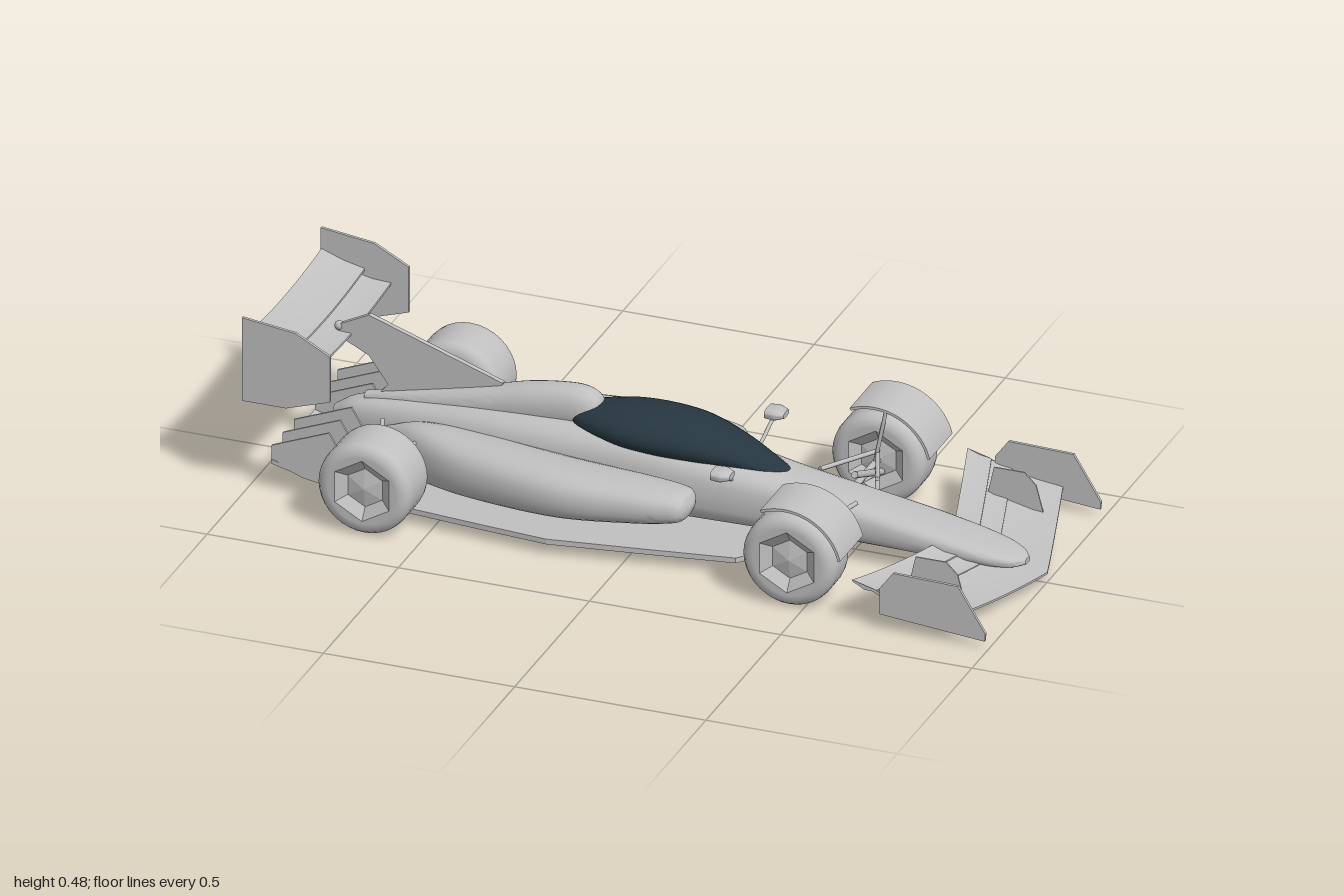
import * as THREE from 'three';
import { toCreasedNormals } from 'three/addons/utils/BufferGeometryUtils.js';

const grey = new THREE.MeshStandardMaterial({ color: 0xc0c0c0, side: THREE.DoubleSide });
grey.name = 'bodyGrey';
const dark = new THREE.MeshStandardMaterial({ color: 0x263640, side: THREE.DoubleSide });
dark.name = 'canopyDark';

const V = (x, y, z) => new THREE.Vector3(x, y, z);

// Closed skin over a list of rings, capped at both ends
function skin(rings) {
  const n = rings[0].length, pos = [], idx = [];
  rings.forEach(r => r.forEach(p => pos.push(p.x, p.y, p.z)));
  for (let i = 0; i < rings.length - 1; i++) {
    for (let j = 0; j < n; j++) {
      const a = i * n + j, b = i * n + (j + 1) % n;
      idx.push(a, a + n, b, b, a + n, b + n);
    }
  }
  const last = (rings.length - 1) * n;
  for (let j = 1; j < n - 1; j++) idx.push(0, j, j + 1, last, last + j + 1, last + j);
  const g = new THREE.BufferGeometry();
  g.setAttribute('position', new THREE.Float32BufferAttribute(pos, 3));
  g.setIndex(idx);
  return toCreasedNormals(g, 0.7);
}

// Smooth hull along x from sections [x, centreZ, halfWidth, bottomY, topY]
function hull(sections, power = 1, steps = 48) {
  const plan = new THREE.CatmullRomCurve3(sections.map(s => V(s[0], s[1], s[2])), false, 'catmullrom');
  const side = new THREE.CatmullRomCurve3(sections.map(s => V(s[0], s[3], s[4])), false, 'catmullrom');
  const bend = v => Math.sign(v) * Math.abs(v) ** power;
  const rings = [];
  for (let i = 0; i <= steps; i++) {
    const p = plan.getPoint(i / steps), q = side.getPoint(i / steps), ring = [];
    for (let j = 0; j < 28; j++) {
      const a = j / 28 * Math.PI * 2;
      ring.push(V(p.x, (q.y + q.z) / 2 + (q.z - q.y) / 2 * bend(Math.sin(a)), p.y + p.z * bend(Math.cos(a))));
    }
    rings.push(ring);
  }
  return skin(rings);
}

// Wing blade across z; at(z) gives [rearX, rearY, frontX, frontY]
function blade(span, at, thick = 0.01) {
  const rings = [];
  for (let i = 0; i <= 20; i++) {
    const z = -span + 2 * span * i / 20;
    const [rx, ry, fx, fy] = at(z);
    const mx = (rx + fx) / 2, my = (ry + fy) / 2 - 0.004;
    rings.push([V(rx, ry, z), V(mx, my, z), V(fx, fy, z),
      V(fx, fy - thick * 0.6, z), V(mx, my - thick, z), V(rx, ry - 0.004, z)]);
  }
  return skin(rings);
}

// Upright plate from an x,y outline
function plate(points, z, thick = 0.008) {
  const shape = new THREE.Shape(points.map(p => new THREE.Vector2(...p)));
  return new THREE.ExtrudeGeometry(shape, { depth: thick, bevelEnabled: false }).translate(0, 0, z - thick / 2);
}

function rod(a, b, r = 0.006) {
  const d = b.clone().sub(a);
  const g = new THREE.CylinderGeometry(r, r, d.length(), 8);
  g.applyQuaternion(new THREE.Quaternion().setFromUnitVectors(V(0, 1, 0), d.clone().normalize()));
  return g.translate((a.x + b.x) / 2, (a.y + b.y) / 2, (a.z + b.z) / 2);
}

function add(parent, name, geo, mat = grey) {
  const m = new THREE.Mesh(geo, mat);
  m.name = name;
  parent.add(m);
  return m;
}

function wheel(name, halfWidth) {
  const w = new THREE.Group(), h = halfWidth, R = 0.122;
  w.name = name;
  // Rounded tyre
  const profile = [[0.088, -h], [0.098, -h], [0.112, -h + 0.006], [0.12, -h + 0.018], [R, -h + 0.032],
    [R, h - 0.032], [0.12, h - 0.018], [0.112, h - 0.006], [0.098, h], [0.088, h]];
  add(w, 'tyre', new THREE.LatheGeometry(profile.map(p => new THREE.Vector2(...p)), 36).rotateX(Math.PI / 2));
  // Hexagonal dished hub on both faces
  const hexPts = [];
  for (let k = 0; k < 6; k++) {
    const a = Math.PI / 2 + k * Math.PI / 3;
    hexPts.push(new THREE.Vector2(Math.cos(a) * 0.082, Math.sin(a) * 0.082));
  }
  const rim = new THREE.Shape().absarc(0, 0, 0.09, 0, Math.PI * 2);
  rim.holes.push(new THREE.Path(hexPts));
  const bowl = [[0, h - 0.012], [0.052, h - 0.022], [0.082, h]].map(p => new THREE.Vector2(...p));
  for (const turn of [0, Math.PI]) {
    add(w, 'rim', new THREE.ShapeGeometry(rim, 32).translate(0, 0, h).rotateY(turn));
    const hub = new THREE.LatheGeometry(bowl, 6).rotateX(Math.PI / 2).rotateY(turn).toNonIndexed();
    hub.computeVertexNormals();
    add(w, 'hub', hub);
  }
  return w;
}

export function createModel() {
  const car = new THREE.Group();
  car.name = 'racingCar';

  // Main body and nose
  add(car, 'body', hull([
    [-0.86, 0, 0.02, 0.09, 0.15], [-0.79, 0, 0.045, 0.055, 0.185], [-0.6, 0, 0.075, 0.04, 0.215],
    [-0.4, 0, 0.1, 0.04, 0.235], [-0.2, 0, 0.11, 0.04, 0.24], [0, 0, 0.112, 0.04, 0.235],
    [0.2, 0, 0.1, 0.04, 0.208], [0.35, 0, 0.087, 0.04, 0.182], [0.5, 0, 0.08, 0.045, 0.158],
    [0.7, 0, 0.078, 0.045, 0.122], [0.85, 0, 0.068, 0.042, 0.09], [0.92, 0, 0.046, 0.042, 0.072],
    [0.95, 0, 0.015, 0.045, 0.06]], 0.65, 60));
  add(car, 'engineCover', hull([
    [-0.78, 0, 0.015, 0.16, 0.2], [-0.6, 0, 0.032, 0.17, 0.24], [-0.45, 0, 0.042, 0.18, 0.275],
    [-0.35, 0, 0.046, 0.19, 0.301], [-0.25, 0, 0.046, 0.2, 0.315], [-0.2, 0, 0.043, 0.2, 0.313],
    [-0.17, 0, 0.032, 0.22, 0.298], [-0.16, 0, 0.015, 0.24, 0.28]], 0.9));
  add(car, 'canopy', hull([
    [-0.24, 0, 0.025, 0.232, 0.25], [-0.2, 0, 0.06, 0.208, 0.273], [-0.1, 0, 0.097, 0.19, 0.29],
    [0, 0, 0.105, 0.18, 0.293], [0.1, 0, 0.094, 0.176, 0.283], [0.2, 0, 0.068, 0.173, 0.25],
    [0.28, 0, 0.042, 0.171, 0.21], [0.33, 0, 0.018, 0.173, 0.185]]), dark);
  add(car, 'spineFin', plate([[-0.85, 0.37], [-0.77, 0.41], [-0.42, 0.288], [-0.45, 0.2], [-0.77, 0.17],
    [-0.72, 0.23], [-0.77, 0.3], [-0.85, 0.34]], 0, 0.014));

  // Floor and rear diffuser
  const half = [[-0.8, 0.235], [-0.6, 0.265], [-0.37, 0.288], [-0.19, 0.304], [0.05, 0.268],
    [0.277, 0.232], [0.37, 0.12], [0.4, 0.06]];
  const outline = [...half, ...half.map(([x, z]) => [x, -z]).reverse()];
  add(car, 'floor', plate(outline, 0, 0.014).rotateX(Math.PI / 2).translate(0, 0.037, 0));
  add(car, 'diffuser', blade(0.225, () => [-0.94, 0.088, -0.78, 0.045]));
  for (const z of [-0.22, -0.145, -0.07, 0.07, 0.145, 0.22]) {
    add(car, 'diffuserFin', plate([[-0.94, 0.125], [-0.94, 0.075], [-0.78, 0.035], [-0.74, 0.1], [-0.79, 0.185]], z, 0.006));
  }

  // Front wing: three swept, sagging elements
  const sweep = z => 0.11 * (1 - Math.abs(z) / 0.385);
  const sag = z => 0.035 * (z / 0.385) ** 2;
  [[0.75, 0.055, 0.892, 0.03], [0.69, 0.073, 0.76, 0.055], [0.642, 0.088, 0.705, 0.071]].forEach(([rx, ry, fx, fy]) => {
    add(car, 'frontWingElement', blade(0.385,
      z => [rx + sweep(z), ry + sag(z), fx + sweep(z), fy + sag(z)], 0.009));
  });

  // Rear wing: two sagging elements
  [[-0.91, 0.364, -0.816, 0.352], [-0.998, 0.412, -0.885, 0.378]].forEach(([rx, ry, fx, fy]) => {
    add(car, 'rearWingElement', blade(0.26, z => {
      const s = 0.014 * (z / 0.26) ** 2;
      return [rx, ry + s, fx, fy + s];
    }));
  });
  add(car, 'rearWingMount', new THREE.SphereGeometry(0.012, 12, 8).translate(-0.85, 0.365, 0));

  for (const s of [1, -1]) {
    const prefix = s > 0 ? 'left' : 'right';
    add(car, prefix + 'Sidepod', hull([
      [-0.7, s * 0.07, 0.02, 0.06, 0.15], [-0.6, s * 0.1, 0.05, 0.045, 0.188], [-0.45, s * 0.13, 0.082, 0.045, 0.192],
      [-0.2, s * 0.175, 0.09, 0.06, 0.19], [0, s * 0.18, 0.078, 0.08, 0.183], [0.1, s * 0.178, 0.064, 0.094, 0.175],
      [0.13, s * 0.176, 0.05, 0.105, 0.165], [0.142, s * 0.175, 0.02, 0.125, 0.145]], 0.8));

    // Wing end plates and fences
    add(car, prefix + 'FrontEndPlate', plate([[0.715, 0.045], [0.99, 0.02], [0.992, 0.04], [0.92, 0.157],
      [0.75, 0.162], [0.715, 0.115]], s * 0.386));
    add(car, prefix + 'FrontFence', plate([[0.74, 0.06], [0.89, 0.045], [0.87, 0.12], [0.84, 0.15], [0.76, 0.15]], s * 0.262, 0.004));
    add(car, prefix + 'RearEndPlate', plate([[-1, 0.256], [-0.885, 0.256], [-0.77, 0.293], [-0.77, 0.416],
      [-0.86, 0.464], [-1, 0.482]], s * 0.263));

    // Wheels
    const front = wheel(prefix + 'FrontWheel', 0.061);
    front.position.set(0.46, 0.123, s * 0.297);
    const rear = wheel(prefix + 'RearWheel', 0.075);
    rear.position.set(-0.645, 0.123, s * 0.298);
    car.add(front, rear);

    // Curved guard over the front tyre
    const guard = new THREE.Shape();
    guard.absarc(0.46, 0.125, 0.151, 2.0, 0.24, true);
    guard.absarc(0.46, 0.125, 0.144, 0.24, 2.0, false);
    add(car, prefix + 'WheelGuard', toCreasedNormals(new THREE.ExtrudeGeometry(guard,
      { depth: 0.152, bevelEnabled: false, curveSegments: 16 }).translate(0, 0, s * 0.299 - 0.076), 0.6));
    add(car, prefix + 'GuardBracket', rod(V(0.46, 0.12, s * 0.23), V(0.49, 0.27, s * 0.23), 0.005));

    // Suspension arms
    for (const [wx, xs] of [[0.46, [0.38, 0.53]], [-0.645, [-0.71, -0.56]]]) {
      for (const x of xs) {
        add(car, 'upperArm', rod(V(x, 0.165, s * 0.07), V(wx, 0.145, s * 0.25)));
        add(car, 'lowerArm', rod(V(x, 0.075, s * 0.06), V(wx, 0.085, s * 0.25)));
      }
      add(car, 'pushRod', rod(V(wx + 0.01, 0.165, s * 0.07), V(wx + 0.01, 0.09, s * 0.25), 0.009));
      add(car, 'axle', rod(V(wx, 0.12, s * 0.05), V(wx, 0.12, s * 0.28), 0.009));
    }

    // Mirror
    add(car, prefix + 'Mirror', hull([[0.2, s * 0.181, 0.026, 0.226, 0.251], [0.225, s * 0.181, 0.028, 0.225, 0.252],
      [0.248, s * 0.181, 0.018, 0.231, 0.246]], 0.6, 8));
    add(car, prefix + 'MirrorStalk', rod(V(0.21, 0.18, s * 0.09), V(0.22, 0.23, s * 0.165), 0.005));
  }
  return car;
}
